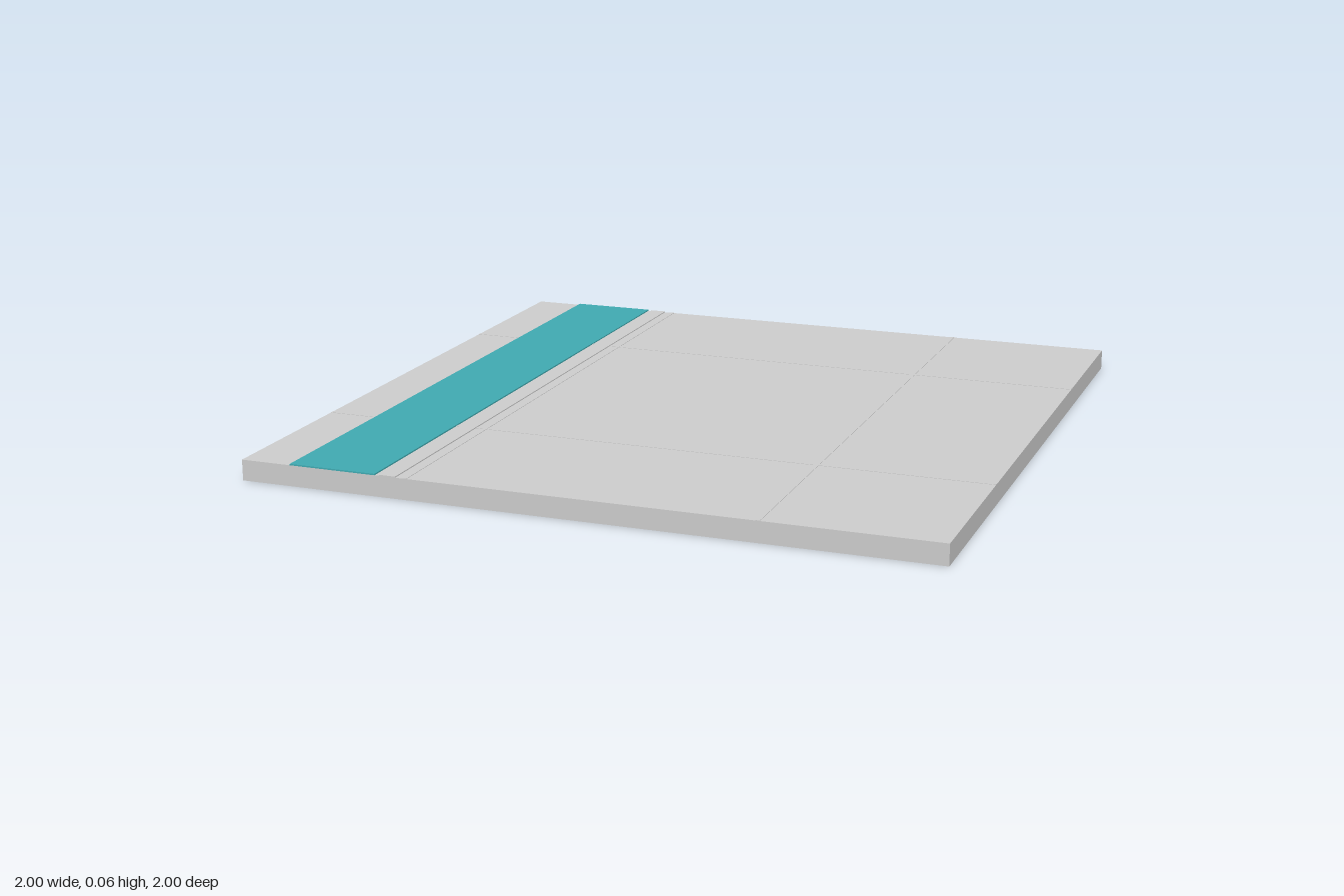
import * as THREE from 'three';

export function createModel() {
  const group = new THREE.Group();
  const grey = new THREE.MeshStandardMaterial({ color: 0xcccccc });
  const teal = new THREE.MeshStandardMaterial({ color: 0x3fa9b0 });

  // box given by its size, bottom height and centre
  function addBox(name, w, h, d, x, bottom, z, material) {
    const mesh = new THREE.Mesh(new THREE.BoxGeometry(w, h, d), material);
    mesh.name = name;
    mesh.position.set(x, bottom + h / 2, z);
    group.add(mesh);
  }

  // ground slab
  const top = 0.06;
  addBox('slab', 2, top, 2, 0, 0, 0, grey);

  // thin joint strips between the paving panels
  for (const s of [-0.5, 0.5]) {
    addBox('lengthwiseJoint', 0.012, 0.0012, 2, s, top, 0, grey);
    addBox('crosswiseJoint', 2, 0.001, 0.012, 0, top, s, grey);
  }

  // coloured lane and the narrow marking line beside it
  addBox('lane', 0.26, 0.004, 2, -0.72, top, 0, teal);
  addBox('laneLine', 0.05, 0.003, 2, -0.553, top, 0, grey);

  return group;
}
